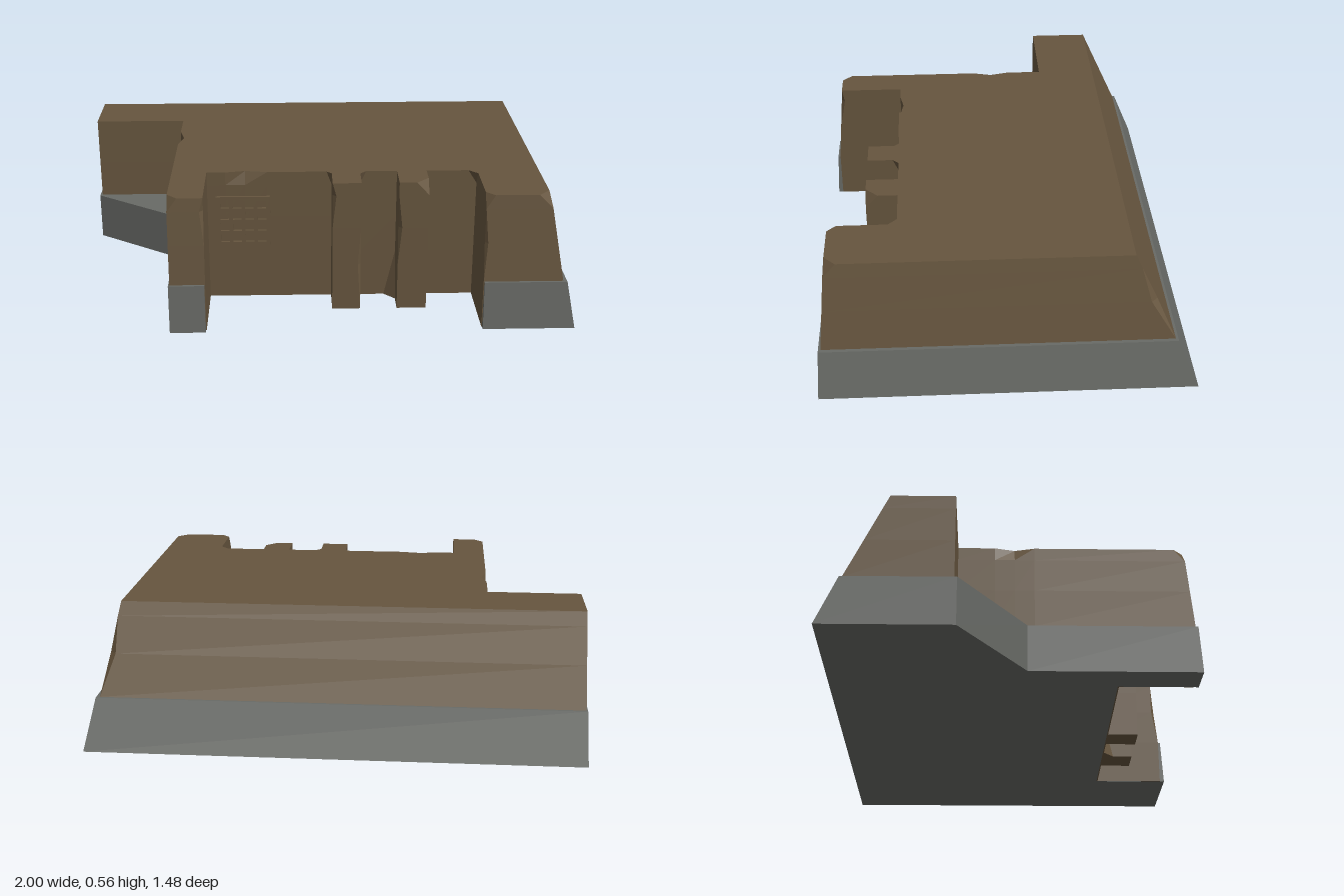
import * as THREE from 'three';

const stone = new THREE.MeshStandardMaterial({ color: 0x66553e });
stone.name = 'brownStone';
const concrete = new THREE.MeshStandardMaterial({ color: 0x686a66 });
concrete.name = 'greyConcrete';

// One ring of the outline. Each corner is [x, z, topX, topZ, chips per level, top dent].
// Every corner becomes two points, spread along its edges by the chip size.
function ring(corners, level, levelIndex, isTop) {
  const pts = corners.map(([x0, z0, x1 = x0, z1 = z0, , dent]) => {
    const p = new THREE.Vector3(x0 + (x1 - x0) * level.t, level.y, z0 + (z1 - z0) * level.t);
    if (dent && isTop) { p.x += dent[0]; p.z += dent[1]; }
    return p;
  });
  const n = pts.length;
  return pts.flatMap((p, i) => {
    const chips = corners[i][4];
    const c = chips ? chips[levelIndex] : 0;
    return [pts[(i + n - 1) % n], pts[(i + 1) % n]].map((q) =>
      p.clone().add(q.clone().sub(p).normalize().multiplyScalar(c)));
  });
}

// Flat-shaded solid between stacked rings, closed at both ends
function loft(corners, levels) {
  const rings = levels.map((l, i) => ring(corners, l, i, i === levels.length - 1));
  const pos = [];
  const tri = (a, b, c) => {
    const area = b.clone().sub(a).cross(c.clone().sub(a)).length();
    if (area > 1e-9) for (const p of [a, b, c]) pos.push(p.x, p.y, p.z);
  };
  for (let k = 0; k + 1 < rings.length; k++) {
    const lo = rings[k], hi = rings[k + 1];
    for (let i = 0; i < lo.length; i++) {
      const j = (i + 1) % lo.length;
      tri(lo[i], hi[i], lo[j]);
      tri(lo[j], hi[i], hi[j]);
    }
  }
  for (const [r, up] of [[rings[0], -1], [rings[rings.length - 1], 1]]) {
    const clean = r.filter((p, i) => p.distanceTo(r[(i + 1) % r.length]) > 1e-6);
    const faces = THREE.ShapeUtils.triangulateShape(clean.map((p) => new THREE.Vector2(p.x, p.z)), []);
    for (const f of faces) {
      const [a, b, c] = f.map((i) => clean[i]);
      const ny = (b.z - a.z) * (c.x - a.x) - (b.x - a.x) * (c.z - a.z);
      if (ny * up > 0) tri(a, b, c); else tri(a, c, b);
    }
  }
  const g = new THREE.BufferGeometry();
  g.setAttribute('position', new THREE.Float32BufferAttribute(pos, 3));
  g.computeVertexNormals();
  return g;
}

function addMesh(group, name, geometry, material) {
  const m = new THREE.Mesh(geometry, material);
  m.name = name;
  group.add(m);
  return m;
}

// Rectangle traced as a shape or a hole
function rect(path, x0, y0, x1, y1) {
  path.moveTo(x0, y0);
  path.lineTo(x1, y0);
  path.lineTo(x1, y1);
  path.lineTo(x0, y1);
  path.closePath();
  return path;
}

export function createModel() {
  const model = new THREE.Group();
  model.name = 'bunker';

  // Sloped concrete footing with a diagonal apron on the right
  const footing = [
    [-1, -0.74, -0.995, -0.655],
    [1, -0.74, 0.96, -0.655],
    [1, 0.74, 0.96, 0.73],
    [0.633, 0.74, 0.633, 0.73],
    [0.633, 0.415],
    [-0.468, 0.415],
    [-0.468, 0.74, -0.468, 0.73],
    [-0.61, 0.74, -0.61, 0.73],
    [-0.61, 0.05],
    [-1, -0.22],
  ];
  addMesh(model, 'footing', loft(footing, [{ y: 0, t: 0 }, { y: 0.2, t: 1 }]), concrete);

  // Stone body: chips are given at ground, 0.2, 0.36, 0.5 and top
  const topChip = (c) => [0, 0, 0, 0, c];
  const edgeChip = (c) => [0, 0, c, 0, 0];
  const body = [
    [-0.99, -0.645, -0.99, -0.48],
    [0.945, -0.645, 0.88, -0.48, edgeChip(0.025)],
    [0.945, 0.72, 0.88, 0.69, topChip(0.045)],
    [0.63, 0.72, 0.63, 0.69, [0, 0, 0.012, 0, 0.035]],
    [0.63, 0.42, 0.63, 0.42, topChip(0.035)],
    // two buttresses
    [0.425, 0.42],
    [0.425, 0.55, 0.425, 0.55, topChip(0.05)],
    [0.305, 0.55, 0.305, 0.55, edgeChip(0.015)],
    [0.305, 0.42, 0.305, 0.42, [0.045, 0, 0, 0, 0]],
    [0.155, 0.42, 0.155, 0.42, topChip(0.025)],
    [0.155, 0.55, 0.155, 0.55, [0, 0.012, 0, 0, 0]],
    [0.04, 0.55, 0.04, 0.55, [0, 0, 0, 0.015, 0]],
    [0.04, 0.42, 0.04, 0.42, topChip(0.02)],
    // broken lip above the grille
    [-0.22, 0.42],
    [-0.31, 0.42, -0.31, 0.42, null, [0, -0.015]],
    [-0.39, 0.42],
    // right arm and side wall
    [-0.465, 0.42],
    [-0.465, 0.72, -0.465, 0.69, [0, 0, 0, 0.015, 0]],
    [-0.605, 0.72, -0.605, 0.69, topChip(0.04)],
    [-0.605, 0.08],
    [-0.605, 0, -0.605, 0, null, [0.02, 0]],
    [-0.605, -0.08],
    [-0.605, -0.23],
    [-0.99, -0.23],
  ];
  const levels = [0.001, 0.2, 0.36, 0.5, 0.555].map((y) => ({ y, t: Math.max(0, (y - 0.2) / 0.355) }));
  addMesh(model, 'body', loft(body, levels), stone);

  // Vent grille: thin frame with a four by four set of openings
  const grille = rect(new THREE.Shape(), -0.43, 0.235, -0.21, 0.452);
  for (let i = 0; i < 4; i++) {
    for (let j = 0; j < 4; j++) {
      const x = -0.413 + i * 0.0505, y = 0.253 + j * 0.0495;
      grille.holes.push(rect(new THREE.Path(), x, y, x + 0.035, y + 0.035));
    }
  }
  const geo = new THREE.ExtrudeGeometry(grille, { depth: 0.012, bevelEnabled: false });
  addMesh(model, 'ventGrille', geo, stone).position.z = 0.419;

  return model;
}
